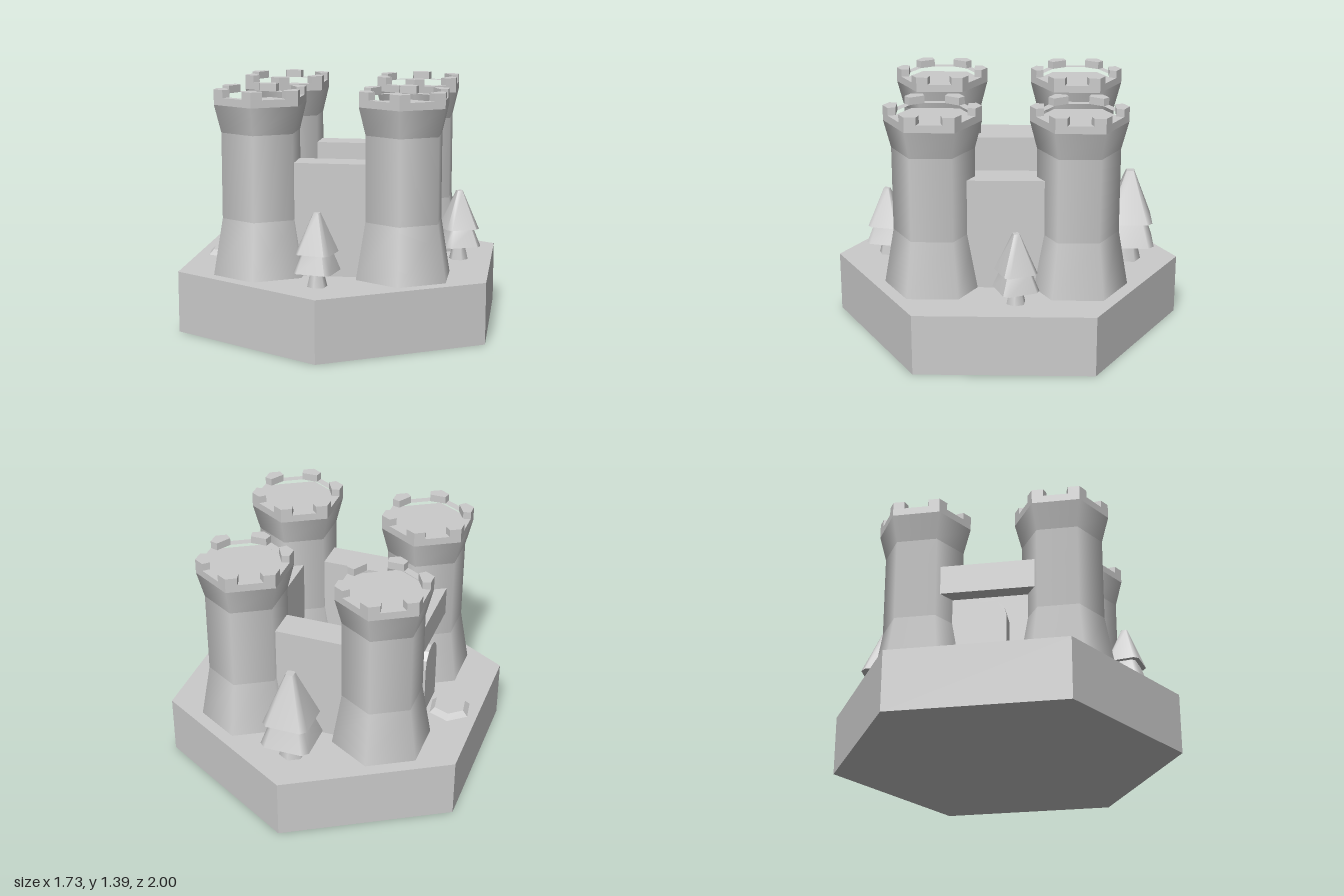
import * as THREE from 'three';

const mat = new THREE.MeshStandardMaterial({ color: 0xcccccc });
const flat = new THREE.MeshStandardMaterial({ color: 0xcccccc, flatShading: true });
const GROUND = 0.35;

function add(parent, name, geometry, material = flat, x = 0, y = 0, z = 0) {
  const mesh = new THREE.Mesh(geometry, material);
  mesh.name = name;
  mesh.position.set(x, y, z);
  parent.add(mesh);
  return mesh;
}

// Box given by its minimum and maximum corners
function block(parent, name, [x0, y0, z0], [x1, y1, z1]) {
  return add(parent, name, new THREE.BoxGeometry(x1 - x0, y1 - y0, z1 - z0), flat,
    (x0 + x1) / 2, (y0 + y1) / 2, (z0 + z1) / 2);
}

// Upright prism over a plan outline
function slab(points, y0, y1, hole) {
  const shape = new THREE.Shape(points);
  if (hole) shape.holes.push(new THREE.Path(hole));
  return new THREE.ExtrudeGeometry(shape, { depth: y1 - y0, bevelEnabled: false })
    .rotateX(-Math.PI / 2).translate(0, y0, 0);
}

const polar = (r, a) => new THREE.Vector2(r * Math.sin(a), r * Math.cos(a));

// Six-sided tower with flared foot, flared head and corner merlons
function tower(x, z) {
  const g = new THREE.Group();
  g.name = 'tower';
  g.position.set(x, 0, z);
  const bands = [
    ['towerFoot', 0.286, 0.35, 0.23, 0.67],
    ['towerShaft', 0.23, 0.67, 0.23, 1.15],
    ['towerHead', 0.23, 1.15, 0.27, 1.305],
  ];
  for (const [name, r0, y0, r1, y1] of bands) {
    add(g, name, new THREE.CylinderGeometry(r1, r0, y1 - y0, 6), mat, 0, (y0 + y1) / 2, 0);
  }
  const corners = [], inner = [], merlons = [];
  const spread = THREE.MathUtils.degToRad(13.3);
  for (let i = 0; i < 6; i++) {
    const a = i * Math.PI / 3;
    const prev = polar(0.27, a - Math.PI / 3), corner = polar(0.27, a), next = polar(0.27, a + Math.PI / 3);
    const in0 = polar(0.2, a - spread), in1 = polar(0.2, a + spread);
    corners.push(corner);
    inner.push(in0, in1);
    merlons.push([in0, corner.clone().lerp(prev, 0.24), corner, corner.clone().lerp(next, 0.24), in1]);
  }
  add(g, 'parapet', slab(corners, 1.305, 1.347, inner));
  for (const m of merlons) add(g, 'merlon', slab(m, 1.347, 1.39));
  return g;
}

// Frustum with a square plan and clipped corners
function tier(top, bottom, height) {
  const geo = new THREE.CylinderGeometry(top, bottom, height, 8);
  const p = geo.attributes.position;
  for (let i = 0; i < p.count; i++) {
    const r = Math.hypot(p.getX(i), p.getZ(i));
    if (r < 1e-6) continue;
    // Pull alternate corners together in pairs about each diagonal
    const k = Math.round(Math.atan2(p.getX(i), p.getZ(i)) / (Math.PI / 4));
    const even = Math.abs(k) % 2 === 0;
    const a = k * Math.PI / 4 + (even ? 0.65 : 0.135);
    p.setX(i, r * Math.sin(a));
    p.setZ(i, r * Math.cos(a));
  }
  geo.computeVertexNormals();
  return geo;
}

function tree(x, z, scale, turn) {
  const g = new THREE.Group();
  g.name = 'tree';
  g.position.set(x, GROUND, z);
  g.scale.setScalar(scale);
  g.rotation.y = turn;
  add(g, 'trunk', new THREE.CylinderGeometry(0.04, 0.075, 0.15, 6), mat, 0, 0.075, 0);
  add(g, 'lowerFoliage', tier(0.12, 0.18, 0.14), mat, 0, 0.185, 0);
  add(g, 'upperFoliage', tier(0.028, 0.165, 0.296), mat, 0, 0.402, 0);
  return g;
}

export function createModel() {
  const model = new THREE.Group();
  model.name = 'castle';

  add(model, 'base', new THREE.CylinderGeometry(1, 1, GROUND, 6), flat, 0, GROUND / 2, 0);

  for (const x of [-0.4, 0.4]) for (const z of [-0.4, 0.4]) model.add(tower(x, z));

  // Curtain walls round the courtyard
  const top = 0.985;
  block(model, 'frontWall', [-0.4, GROUND, 0.305], [0.4, top, 0.48]);
  block(model, 'backWall', [-0.4, GROUND, -0.48], [0.4, top, -0.305]);
  block(model, 'leftWall', [0.302, GROUND, -0.4], [0.476, top, 0.4]);

  // Gate side: recessed wall, overhanging lintel and arched door
  block(model, 'gateWall', [-0.476, GROUND, -0.36], [-0.307, 0.82, 0.36]);
  block(model, 'gateLintel', [-0.566, 0.815, -0.35], [-0.307, top, 0.35]);
  const arch = new THREE.Shape();
  arch.moveTo(-0.11, 0);
  arch.lineTo(0.11, 0);
  for (let i = 0; i <= 6; i++) {
    const a = i * Math.PI / 6;
    arch.lineTo(0.11 * Math.cos(a), 0.3 + 0.11 * Math.sin(a));
  }
  const door = new THREE.ExtrudeGeometry(arch, { depth: 0.1, bevelEnabled: false });
  add(model, 'gateDoor', door, flat, -0.465, GROUND, 0).rotation.y = -Math.PI / 2;

  model.add(tree(0.023, -0.71, 1, 0));
  model.add(tree(-0.035, 0.71, 0.74, -0.2));
  model.add(tree(0.677, -0.06, 0.74, 0.4));

  // Low flat stone before the gate
  add(model, 'stone', new THREE.CylinderGeometry(0.096, 0.127, 0.03, 6), flat, -0.694, GROUND + 0.015, -0.015)
    .rotation.y = 0.15;

  return model;
}
